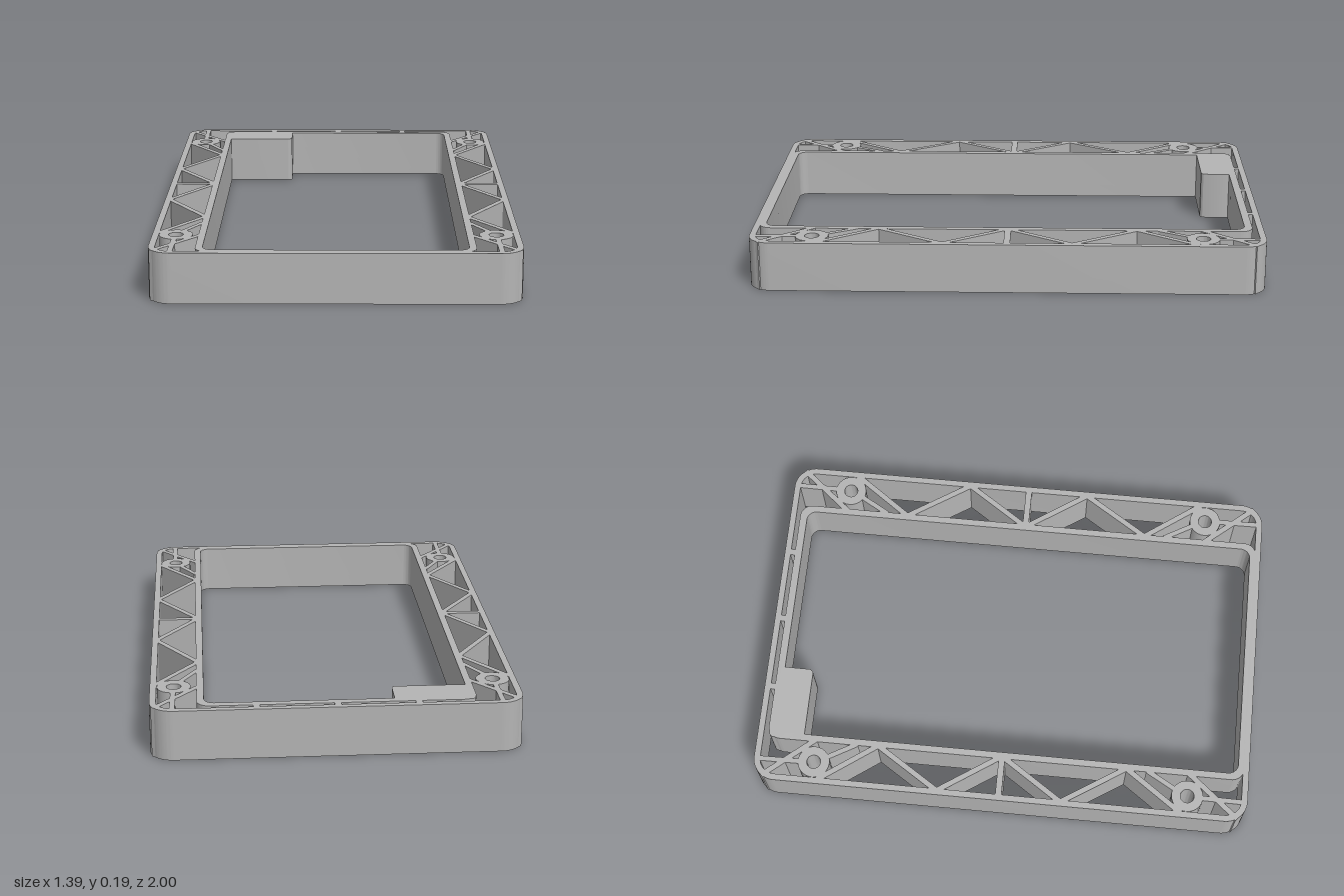
import * as THREE from 'three';
import { toCreasedNormals } from 'three/addons/utils/BufferGeometryUtils.js';

const H = 0.195; // frame height
const WALL = 0.025;

export function createModel() {
  const model = new THREE.Group();
  model.name = 'rectangularFrame';
  const grey = new THREE.MeshStandardMaterial({ color: 0xb4b4b4 });
  grey.name = 'plainGrey';

  // Rounded rectangle in plan: shape x = world x, shape y = world z
  const roundedRect = (path, x0, z0, x1, z1, r) => {
    path.moveTo(x0 + r, z0);
    path.lineTo(x1 - r, z0);
    path.absarc(x1 - r, z0 + r, r, -Math.PI / 2, 0);
    path.lineTo(x1, z1 - r);
    path.absarc(x1 - r, z1 - r, r, 0, Math.PI / 2);
    path.lineTo(x0 + r, z1);
    path.absarc(x0 + r, z1 - r, r, Math.PI / 2, Math.PI);
    path.lineTo(x0, z0 + r);
    path.absarc(x0 + r, z0 + r, r, Math.PI, Math.PI * 1.5);
    return path;
  };

  const add = (name, geometry) => {
    const mesh = new THREE.Mesh(geometry, grey);
    mesh.name = name;
    model.add(mesh);
    return mesh;
  };

  // Stand a plan outline up to the full frame height
  const prism = (name, shape, hole) => {
    if (hole) shape.holes.push(hole);
    const g = new THREE.ExtrudeGeometry(shape, { depth: H, bevelEnabled: false, curveSegments: 14 });
    g.rotateX(Math.PI / 2).translate(0, H, 0);
    return add(name, toCreasedNormals(g, 0.6));
  };

  // Upright rib between two plan points
  const rib = (name, xa, za, xb, zb, t = 0.022) => {
    const mesh = add(name, new THREE.BoxGeometry(Math.hypot(xb - xa, zb - za), H, t));
    mesh.position.set((xa + xb) / 2, H / 2, (za + zb) / 2);
    mesh.rotation.y = -Math.atan2(zb - za, xb - xa);
  };

  // Outer and inner walls
  prism('outerWall',
    roundedRect(new THREE.Shape(), -0.695, -1, 0.695, 1, 0.09),
    roundedRect(new THREE.Path(), -0.67, -0.975, 0.67, 0.975, 0.065));
  prism('innerWall',
    roundedRect(new THREE.Shape(), -0.52, -0.958, 0.52, 0.98, 0.05),
    roundedRect(new THREE.Path(), -0.493, -0.928, 0.493, 0.955, 0.04));

  // Solid block in the back corner of the opening
  prism('cornerBlock', roundedRect(new THREE.Shape(), -0.515, -0.953, -0.213, -0.81, 0.018));

  // Short tabs bridging the slot at the back
  for (const x of [-0.3, 0, 0.3]) rib('backTab', x, -0.985, x, -0.945, WALL);

  for (const sx of [-1, 1]) {
    rib('middleRib', sx * 0.51, 0, sx * 0.68, 0, WALL);
    for (const sz of [-1, 1]) {
      const bx = sx * 0.605, bz = sz * 0.757;

      // Zigzag truss along the side
      const truss = [[0.513, 0.005], [0.677, 0.25], [0.513, 0.505], [0.677, 0.735]];
      for (let i = 0; i < 3; i++) {
        const [xa, za] = truss[i], [xb, zb] = truss[i + 1];
        rib('trussRib', sx * xa, sz * za, sx * xb, sz * zb);
      }

      // Screw boss with its supporting ribs
      const boss = new THREE.Shape();
      boss.absarc(bx, bz, 0.064, 0, Math.PI * 2);
      const bore = new THREE.Path();
      bore.absarc(bx, bz, 0.028, 0, Math.PI * 2);
      prism('screwBoss', boss, bore);
      rib('cornerRib', sx * 0.68, sz * 0.962, sx * 0.51, sz * 0.758);
      rib('endRib', sx * 0.61, sz * 0.985, sx * 0.608, sz * 0.81, 0.02);
      rib('bossRib', sx * 0.583, sz * 0.71, sx * 0.515, sz * 0.59, 0.02);
    }
  }
  return model;
}
